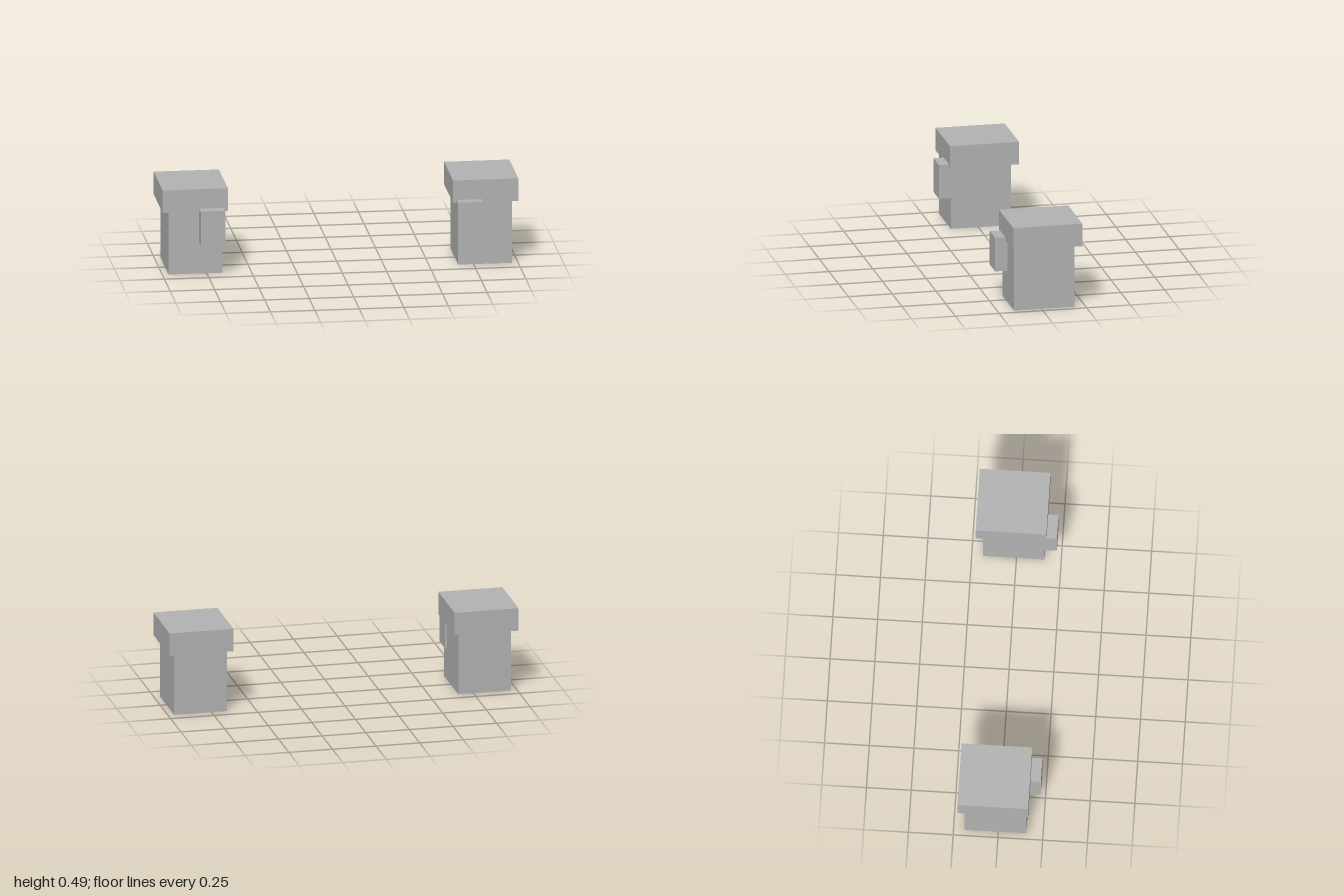
import * as THREE from 'three';

export function createModel() {
  const model = new THREE.Group();
  const grey = new THREE.MeshStandardMaterial({ color: 0xb4b4b4 });
  grey.name = 'grey';

  // Box given by its lower and upper corners
  function box(name, [x0, y0, z0], [x1, y1, z1]) {
    const mesh = new THREE.Mesh(new THREE.BoxGeometry(x1 - x0, y1 - y0, z1 - z0), grey);
    mesh.position.set((x0 + x1) / 2, (y0 + y1) / 2, (z0 + z1) / 2);
    mesh.name = name;
    return mesh;
  }

  // One block on each side, mirrored across x
  for (const side of [1, -1]) {
    const post = new THREE.Group();
    post.name = side > 0 ? 'leftPost' : 'rightPost';
    const parts = [
      box('body', [0.663, 0, -0.188], [0.965, 0.36, 0.157]),
      box('cap', [0.633, 0.36, -0.226], [1, 0.491, 0.169]),
      // Small block set into the inner front corner
      box('cornerBlock', [0.653, 0.182, 0.089], [0.793, 0.378, 0.227]),
    ];
    for (const part of parts) {
      part.position.x *= side;
      post.add(part);
    }
    model.add(post);
  }
  return model;
}
